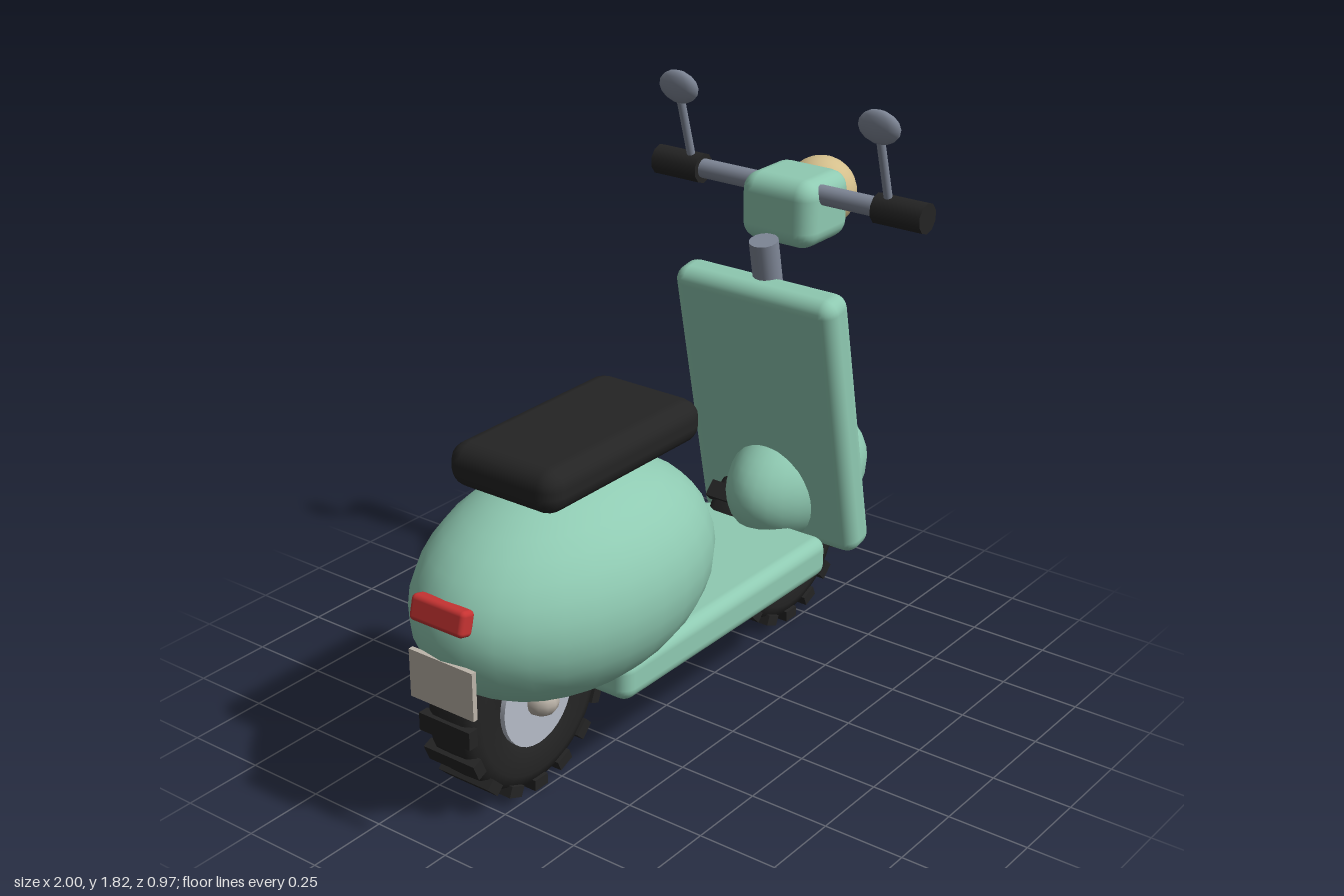
import * as THREE from 'three';
import { RoundedBoxGeometry } from 'three/addons/geometries/RoundedBoxGeometry.js';

const paint = (name, color) => {
  const m = new THREE.MeshStandardMaterial({ color });
  m.name = name;
  return m;
};

export function createModel() {
  const mint = paint('mint paint', 0x8fcab2);
  const rubber = paint('black rubber', 0x242424);
  const steel = paint('blue steel', 0x7f8797);
  const alloy = paint('pale alloy', 0xb6bcc8);
  const nickel = paint('warm nickel', 0xbdb5aa);
  const lampGlass = paint('cream lamp', 0xd4bf8c);
  const redGlass = paint('red lamp', 0xc63332);

  const model = new THREE.Group();
  model.name = 'scooter';

  const add = (name, geometry, material, x = 0, y = 0, z = 0, parent = model) => {
    const mesh = new THREE.Mesh(geometry, material);
    mesh.name = name;
    mesh.position.set(x, y, z);
    parent.add(mesh);
    return mesh;
  };
  const ellipsoid = (rx, ry, rz, w = 28, h = 18) =>
    new THREE.SphereGeometry(1, w, h).scale(rx, ry, rz);
  const roundBox = (w, h, d, r, seg = 3) => new RoundedBoxGeometry(w, h, d, seg, r);
  // Cylinder between two points
  const rod = (name, a, b, radius, material, sides = 16) => {
    const from = new THREE.Vector3(...a), to = new THREE.Vector3(...b);
    const dir = to.clone().sub(from);
    const mesh = add(name, new THREE.CylinderGeometry(radius, radius, dir.length(), sides), material);
    mesh.position.copy(from).add(to).multiplyScalar(0.5);
    mesh.quaternion.setFromUnitVectors(new THREE.Vector3(0, 1, 0), dir.normalize());
    return mesh;
  };

  // Body, seat and floor
  add('rearBody', ellipsoid(0.527, 0.32, 0.345), mint, -0.463, 0.66, 0);
  add('seat', roundBox(0.675, 0.13, 0.38, 0.055, 2), rubber, -0.403, 1.035, 0);
  add('floorboard', roundBox(1.01, 0.13, 0.475, 0.04), mint, 0.01, 0.385, 0);

  // Tail light and rear plate
  add('tailLight', roundBox(0.05, 0.075, 0.19, 0.015), redGlass, -0.97, 0.74, 0).rotation.z = -0.25;
  add('rearPlate', new THREE.BoxGeometry(0.016, 0.145, 0.225), nickel, -0.977, 0.535, 0);

  // Leg shield and front mudguard
  add('legShield', roundBox(0.12, 0.9, 0.58, 0.045), mint, 0.543, 0.815, 0).rotation.z = 0.2;
  add('frontMudguard', ellipsoid(0.308, 0.193, 0.174), mint, 0.688, 0.537, 0);

  // Steering
  rod('steeringColumn', [0.475, 1.375, 0], [0.69, 0.29, 0], 0.045, steel);
  add('handlebarHead', roundBox(0.24, 0.21, 0.26, 0.055), mint, 0.635, 1.448, 0);
  add('headlight', new THREE.SphereGeometry(0.111, 24, 16), lampGlass, 0.776, 1.45, 0);
  rod('handlebar', [0.6, 1.508, -0.36], [0.6, 1.508, 0.36], 0.03, steel);

  // Grips and mirrors on both sides
  for (const s of [-1, 1]) {
    const side = s > 0 ? 'Near' : 'Far';
    rod('grip' + side, [0.6, 1.507, s * 0.315], [0.6, 1.507, s * 0.483], 0.047, rubber, 10);
    rod('mirrorStem' + side, [0.6, 1.51, s * 0.355], [0.53, 1.75, s * 0.355], 0.013, steel, 10);
    add('mirror' + side, ellipsoid(0.026, 0.053, 0.071, 10, 8), steel, 0.526, 1.773, s * 0.355)
      .rotation.z = 0.15;
  }

  // Wheels: tyre, tread bars, hub, caps and bolts
  const tyreProfile = [
    [0.14, -0.07], [0.17, -0.088], [0.235, -0.09], [0.268, -0.08], [0.282, -0.055],
    [0.284, 0], [0.282, 0.055], [0.268, 0.08], [0.235, 0.09], [0.17, 0.088], [0.14, 0.07],
  ].map(([r, w]) => new THREE.Vector2(r, w));
  const buildWheel = (name, x) => {
    const wheel = new THREE.Group();
    wheel.name = name;
    wheel.position.set(x, 0.3, -0.102);
    model.add(wheel);
    add('tyre', new THREE.LatheGeometry(tyreProfile, 40).rotateX(Math.PI / 2), rubber, 0, 0, 0, wheel);
    for (let i = 0; i < 16; i++) {
      const a = (i / 16) * Math.PI * 2;
      add('treadBar', new THREE.BoxGeometry(0.034, 0.055, 0.186), rubber,
        Math.cos(a) * 0.278, Math.sin(a) * 0.278, 0, wheel).rotation.z = a;
    }
    add('hub', new THREE.CylinderGeometry(0.146, 0.146, 0.18, 32).rotateX(Math.PI / 2), alloy, 0, 0, 0, wheel);
    add('capInner', ellipsoid(0.05, 0.05, 0.06, 12, 8), nickel, 0, 0, 0.095, wheel);
    add('capOuter', ellipsoid(0.05, 0.05, 0.05, 12, 8), nickel, 0, 0, -0.09, wheel);
    for (let i = 0; i < 6; i++) {
      const a = ((i + 0.5) / 6) * Math.PI * 2;
      add('bolt', new THREE.CylinderGeometry(0.013, 0.013, 0.05, 6).rotateX(Math.PI / 2), steel,
        Math.cos(a) * 0.105, Math.sin(a) * 0.105, -0.1, wheel);
    }
  };
  buildWheel('rearWheel', -0.58);
  buildWheel('frontWheel', 0.687);

  return model;
}
